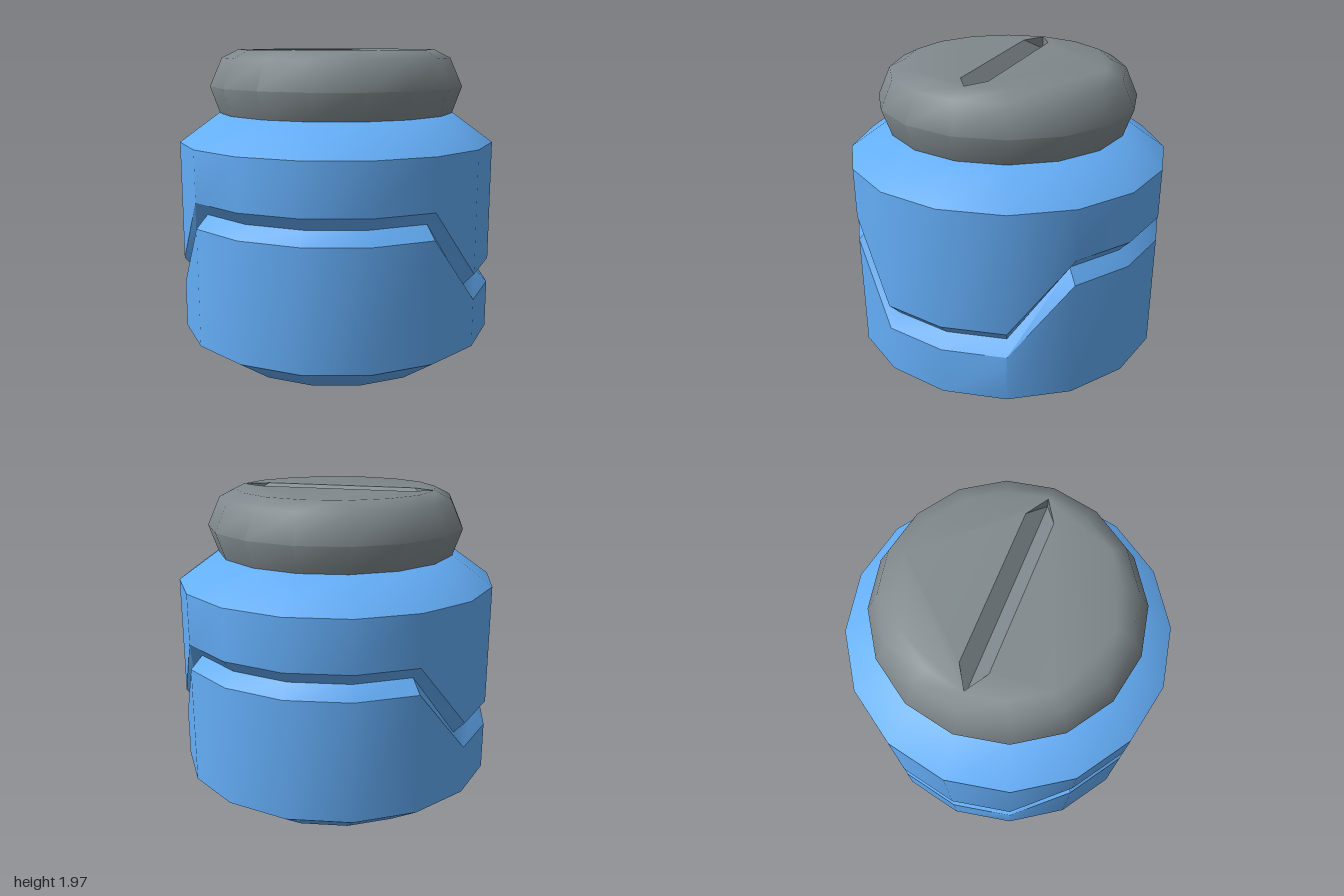
import * as THREE from 'three';
import { mergeGeometries, toCreasedNormals } from 'three/addons/utils/BufferGeometryUtils.js';

const SIDES = 16;

function triangles(points) {
  const geometry = new THREE.BufferGeometry();
  geometry.setAttribute('position', new THREE.Float32BufferAttribute(points.flat(), 3));
  geometry.computeVertexNormals();
  return geometry;
}

// Skin a stack of 16-sided rings [radius, height], height may depend on the side index
function skinRings(rings) {
  const at = ([r, y], i) => {
    const a = (i / SIDES) * Math.PI * 2;
    return [r * Math.sin(a), typeof y === 'function' ? y(i % SIDES) : y, r * Math.cos(a)];
  };
  const points = [];
  for (let k = 0; k < rings.length - 1; k++) {
    const low = rings[k], high = rings[k + 1];
    for (let i = 0; i < SIDES; i++) {
      const a = at(low, i), b = at(low, i + 1), c = at(high, i + 1), d = at(high, i);
      if (low[0] > 0) points.push(a, b, c);
      if (high[0] > 0) points.push(a, c, d);
      else points.push(...(low[0] > 0 ? [] : [a, c, d]));
    }
  }
  return triangles(points);
}

function addMesh(group, name, geometry, color) {
  const mesh = new THREE.Mesh(geometry, new THREE.MeshStandardMaterial({ color }));
  mesh.name = name;
  group.add(mesh);
}

export function createModel() {
  const model = new THREE.Group();
  model.name = 'jar';
  const blue = 0x64aef8, grey = 0x7f888c;

  // Jar body with a V groove: high at front and back, low at the sides
  const groove = (offset) => (i) => {
    const fromSide = Math.abs((i % 8) - 4);
    return (fromSide <= 1 ? 0.56 : 1.0) + offset;
  };
  const body = skinRings([
    [0, 0], [0.74, 0], [1, 0.18],
    [1, groove(-0.08)], [0.925, groove(0)], [1, groove(0.08)],
    [1, 1.395], [0.75, 1.575], [0, 1.575],
  ]);
  addMesh(model, 'body', toCreasedNormals(body, 0.65), blue);

  // Lid: rounded rim, then a flat top with an opening for the slot
  const lid = new THREE.Group();
  lid.name = 'lid';
  model.add(lid);
  const top = 1.965, topRadius = 0.625;
  const rim = skinRings([[0, 1.575], [0.745, 1.575], [0.803, 1.74], [0.725, 1.915], [topRadius, top]]);

  const halfLength = 0.615, shoulder = 0.48, halfWidth = 0.085;
  const outline = new THREE.Shape();
  for (let i = 0; i < SIDES; i++) {
    const a = (i / SIDES) * Math.PI * 2;
    const x = topRadius * Math.cos(a), y = topRadius * Math.sin(a);
    if (i) outline.lineTo(x, y); else outline.moveTo(x, y);
  }
  outline.closePath();
  outline.holes.push(new THREE.Path([
    [halfLength, 0], [shoulder, -halfWidth], [-shoulder, -halfWidth],
    [-halfLength, 0], [-shoulder, halfWidth], [shoulder, halfWidth],
  ].map(([x, y]) => new THREE.Vector2(x, y))));
  const flat = new THREE.ShapeGeometry(outline).toNonIndexed();
  flat.deleteAttribute('uv');
  flat.rotateX(-Math.PI / 2).translate(0, top, 0);
  addMesh(lid, 'lidShell', toCreasedNormals(mergeGeometries([rim, flat]), 0.8), grey);

  // V-shaped slot walls: one half, then the same half turned around
  const floor = top - 0.08;
  const a = [-shoulder, top, halfWidth], b = [shoulder, top, halfWidth];
  const endR = [halfLength, top, 0], endL = [-halfLength, top, 0];
  const floorR = [halfLength, floor, 0], floorL = [-halfLength, floor, 0];
  const half = triangles([
    a, b, floorR, a, floorR, floorL,
    b, endR, floorR, a, floorL, endL,
  ]);
  addMesh(lid, 'lidSlot', mergeGeometries([half, half.clone().rotateY(Math.PI)]), grey);

  return model;
}
